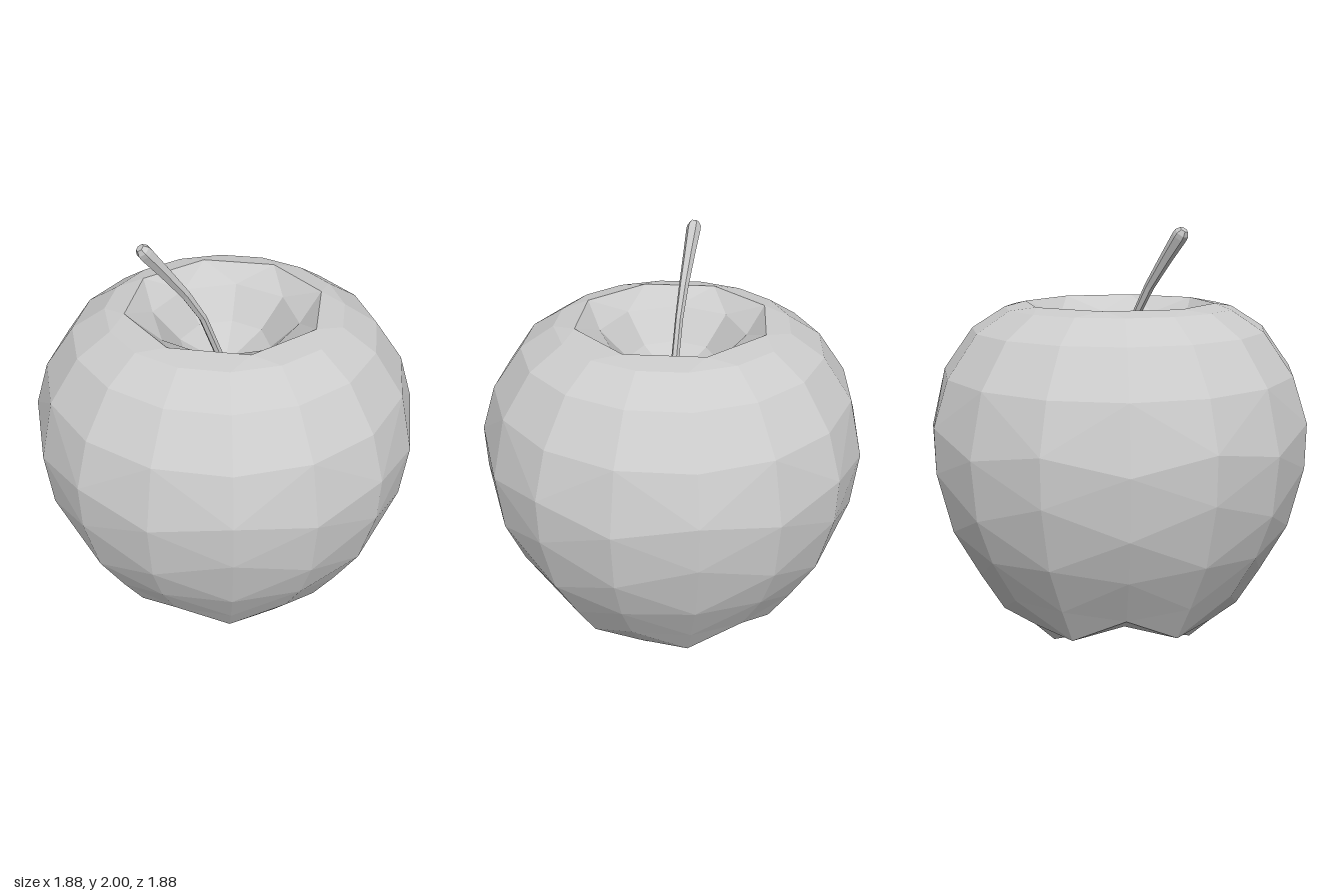
import * as THREE from 'three';

const SEG = 16;
const STEP = (Math.PI * 2) / SEG;
const material = () => new THREE.MeshStandardMaterial({ color: 0xcccccc, flatShading: true });

// Every ring is [radius, height] at the lobe columns (k = 0, 4, 8, 12),
// optionally followed by the same pair for odd columns and notch columns.
const RINGS = [
  { at: [[0, 1.3]] },
  { at: [[0.22, 1.42]], merge: 0 },
  { at: [[0.35, 1.56]], merge: 0 },
  { at: [[0.47, 1.64]], merge: 1 },
  { at: [[0.56, 1.62]] },
  { at: [[0.72, 1.52]] },
  { at: [[0.865, 1.32]] },
  { at: [[0.94, 1.03], [0.94, 1.1], [0.94, 1.03]] },
  { at: [[0.92, 0.75], [0.94, 0.88], [0.92, 0.75]] },
  { at: [[0.845, 0.53], [0.875, 0.58], [0.84, 0.53]] },
  { at: [[0.72, 0.3], [0.75, 0.33], [0.7, 0.28]] },
  { at: [[0.6, 0.13], [0.64, 0.13], [0.54, 0.17]] },
  { at: [[0.48, 0], [0.5, 0.09], [0.47, 0.19]] },
  { at: [[0.37, 0.01], [0.34, 0.1], [0.3, 0.22]] },
  { at: [[0, 0.27]] },
];

function ringPoint({ at, merge }, index) {
  const k = index % SEG;
  const [r, y] = at[k % 2 ? 1 : k % 4 ? 2 : 0] ?? at[0];
  // Rings near the stem join their columns in pairs, leaving eight corners
  let a = k * STEP;
  if (merge === 0) a = (Math.floor(k / 2) * 2 + 0.5) * STEP;
  if (merge === 1) a = (Math.floor((k + 1) / 2) * 2 - 0.5) * STEP;
  return new THREE.Vector3(r * Math.cos(a), y, -r * Math.sin(a));
}

// Faceted fruit: stem hollow, rounded sides, four feet and a hollow underside
function makeBody() {
  const points = [];
  const addTriangle = (a, b, c) => {
    const area = b.clone().sub(a).cross(c.clone().sub(a)).length();
    if (area > 1e-6) points.push(a, b, c);
  };
  for (let i = 0; i < RINGS.length - 1; i++) {
    for (let k = 0; k < SEG; k++) {
      const a = ringPoint(RINGS[i], k);
      const b = ringPoint(RINGS[i], k + 1);
      const c = ringPoint(RINGS[i + 1], k);
      const d = ringPoint(RINGS[i + 1], k + 1);
      // Diagonals alternate to give the diamond facets
      if (k % 2 === 0) {
        addTriangle(a, c, d);
        addTriangle(a, d, b);
      } else {
        addTriangle(a, c, b);
        addTriangle(b, c, d);
      }
    }
  }
  const geometry = new THREE.BufferGeometry().setFromPoints(points);
  geometry.computeVertexNormals();
  const mesh = new THREE.Mesh(geometry, material());
  mesh.name = 'appleBody';
  return mesh;
}

// Six-sided stem: a turned profile swept along a leaning curve
function makeStem() {
  const path = new THREE.CatmullRomCurve3([
    new THREE.Vector3(0, 1.28, 0),
    new THREE.Vector3(-0.13, 1.62, 0),
    new THREE.Vector3(-0.26, 1.81, 0),
    new THREE.Vector3(-0.395, 1.985, 0),
  ]);
  const profile = [
    [0.02, 0], [0.02, 0.4], [0.024, 0.6], [0.03, 0.8],
    [0.036, 0.95], [0.034, 0.975], [0.02, 1], [0, 1],
  ].map(([r, t]) => new THREE.Vector2(r, t));
  const geometry = new THREE.LatheGeometry(profile, 6).toNonIndexed();
  const pos = geometry.attributes.position;
  for (let i = 0; i < pos.count; i++) {
    const t = THREE.MathUtils.clamp(pos.getY(i), 0, 1);
    const centre = path.getPointAt(t);
    const tangent = path.getTangentAt(t);
    const across = pos.getX(i);
    pos.setXYZ(i, centre.x + across * tangent.y, centre.y - across * tangent.x, pos.getZ(i));
  }
  geometry.computeVertexNormals();
  const mesh = new THREE.Mesh(geometry, material());
  mesh.name = 'stem';
  return mesh;
}

export function createModel() {
  const group = new THREE.Group();
  group.name = 'apple';
  group.add(makeBody(), makeStem());
  return group;
}
